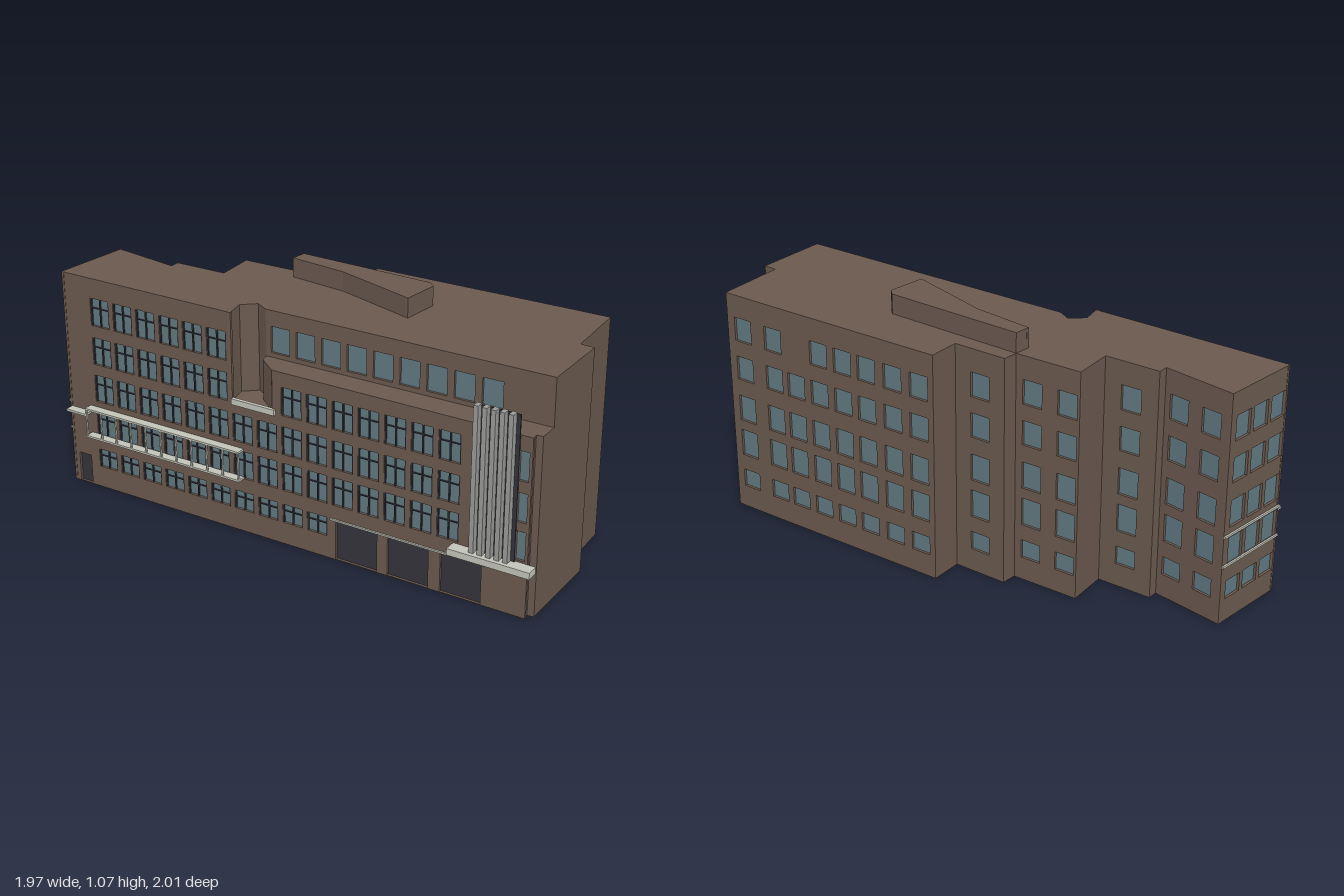
import * as THREE from 'three';
import { mergeGeometries } from 'three/addons/utils/BufferGeometryUtils.js';

const mat = (name, color) => {
  const m = new THREE.MeshStandardMaterial({ color, side: THREE.DoubleSide });
  m.name = name;
  return m;
};

export function createModel() {
  const brick = mat('brown wall', 0x6a594e);
  const glass = mat('blue grey glass', 0x607880);
  const dark = mat('dark frame', 0x33333b);
  const trim = mat('pale trim', 0xc2c3b8);
  const steel = mat('grey fin', 0x999b97);

  const model = new THREE.Group();
  model.name = 'officeBuilding';
  const TOP = 0.985, TERRACE = 0.78, LEDGE = 0.6, THICK = 0.012;

  const mesh = (parent, name, geometry, material) => {
    const m = new THREE.Mesh(geometry, material);
    m.name = name;
    parent.add(m);
    return m;
  };
  const boxGeo = (x0, x1, y0, y1, z0, z1) =>
    new THREE.BoxGeometry(x1 - x0, y1 - y0, z1 - z0)
      .translate((x0 + x1) / 2, (y0 + y1) / 2, (z0 + z1) / 2);
  const rect = (y0, y1, len) => [[0, y0], [len, y0], [len, y1], [0, y1]];
  const dist = (p, q) => Math.hypot(q[0] - p[0], q[1] - p[1]);

  // Wall from p to q (x, z); local x runs along it, local z points outward.
  // Openings are { s, w, y0, y1, door, bars }.
  function wall(name, p, q, outline, openings = []) {
    const g = new THREE.Group();
    g.name = name;
    g.position.set(p[0], 0, p[1]);
    g.rotation.y = -Math.atan2(q[1] - p[1], q[0] - p[0]);
    model.add(g);
    const shape = new THREE.Shape(outline.map(([x, y]) => new THREE.Vector2(x, y)));
    const panes = [], doors = [], bars = [];
    for (const o of openings) {
      const hole = rect(o.y0, o.y1, o.w).map(([x, y]) => new THREE.Vector2(x + o.s, y));
      shape.holes.push(new THREE.Path(hole));
      const pane = new THREE.PlaneGeometry(o.w, o.y1 - o.y0)
        .translate(o.s + o.w / 2, (o.y0 + o.y1) / 2, -THICK + 0.001);
      (o.door ? doors : panes).push(pane);
      if (o.bars) {
        const b = 0.003, ym = o.y0 + (o.y1 - o.y0) * 0.65;
        for (const t of [0.03, 0.5, 0.97]) {
          const x = o.s + o.w * t;
          bars.push(boxGeo(x - b, x + b, o.y0, o.y1, -0.009, -0.003));
        }
        bars.push(boxGeo(o.s, o.s + o.w, ym - 0.002, ym + 0.002, -0.009, -0.003));
      }
    }
    const body = new THREE.ExtrudeGeometry(shape, { depth: THICK, bevelEnabled: false });
    mesh(g, name + 'Masonry', body.translate(0, 0, -THICK), brick);
    if (panes.length) mesh(g, name + 'Glass', mergeGeometries(panes), glass);
    if (doors.length) mesh(g, name + 'Doors', mergeGeometries(doors), dark);
    if (bars.length) mesh(g, name + 'WindowBars', mergeGeometries(bars), dark);
    return g;
  }

  // Flat horizontal slab surface from an x, z outline
  function deck(name, points, y) {
    const s = new THREE.Shape(points.map(([x, z]) => new THREE.Vector2(x, -z)));
    mesh(model, name, new THREE.ShapeGeometry(s).rotateX(-Math.PI / 2).translate(0, y, 0), brick);
  }

  // ---- Main footprint corners ----
  const A = [-0.96, -0.82], B = [0.41, 0.94];
  const nicheL = [-0.425, -0.133], nicheR = [-0.305, 0.022];
  const setL = [-0.28, -0.12], setR = [0.52, 0.886], stepL = [-0.305, -0.09];
  const endFace = [[0.43, 0.92], [0.45, 0.94]];
  const back = [[0.78, 0.685], [0.745, 0.635], [0.98, 0.435], [0.86, 0.285], [0.31, -0.39],
    [0.2, -0.305], [0.055, -0.49], [0, -0.455], [-0.185, -0.68], [-0.32, -0.565],
    [-0.47, -0.75], [-0.505, -0.725], [-0.66, -1]];
  const L = dist(A, B);
  const along = (x) => (x - A[0]) / (B[0] - A[0]) * L;

  // ---- Front facade ----
  const rows = [[0.1, 0.185], [0.25, 0.375], [0.415, 0.54], [0.59, 0.715], [0.77, 0.895]];
  const open = [];
  rows.forEach(([y0, y1], r) => {
    const count = [10, 15, 15, 15, 6][r];
    for (let i = 0; i < count; i++) {
      if (r === 3 && (i === 6 || i === 7)) continue;
      open.push({ s: along(-0.87 + i * 0.074), w: 0.098, y0, y1, bars: true });
    }
    if (r > 0 && r < 4) open.push({ s: along(0.377), w: 0.042, y0, y1 });
  });
  for (const [a, b, h] of [[-0.12, 0, 0.18], [0.03, 0.145, 0.18], [0.178, 0.29, 0.18], [-0.94, -0.9, 0.14]]) {
    open.push({ s: along(a), w: along(b) - along(a), y0: 0.003, y1: h, door: true });
  }
  const nl = along(nicheL[0]), nr = along(nicheR[0]);
  const front = wall('frontFacade', A, B, [[0, 0], [L, 0], [L, TERRACE], [nr, TERRACE], [nr, LEDGE],
    [nl, LEDGE], [nl, TOP], [0, TOP]], open);

  // ---- Recessed top floor above the terrace ----
  const setLen = dist(setL, setR), setScale = setLen / (setR[0] - setL[0]);
  const topWindows = [];
  for (let i = 0; i < 9; i++) {
    topWindows.push({ s: (0.015 + i * 0.0745) * setScale, w: 0.055 * setScale, y0: 0.8, y1: 0.915 });
  }
  wall('topFloorWall', setL, setR, rect(TERRACE, TOP, setLen), topWindows);

  // ---- Niche walls ----
  const niche = [nicheL, [-0.365, -0.2], [-0.29, -0.185], setL, stepL, nicheR];
  for (let i = 0; i < 5; i++) {
    const [p, q] = [niche[i], niche[i + 1]];
    wall('nicheWall' + i, p, q, rect(LEDGE, i < 3 ? TOP : TERRACE, dist(p, q)));
  }

  // ---- Low front corner, then end and stepped back walls ----
  const low = [B, ...endFace, setR];
  for (let i = 0; i < 3; i++) {
    wall('cornerWall' + i, low[i], low[i + 1], rect(0, TERRACE, dist(low[i], low[i + 1])));
  }
  const backRows = [[0.1, 0.18], [0.25, 0.37], [0.415, 0.53], [0.605, 0.71], [0.78, 0.885]];
  // Window centres as fractions of each wall's length
  const centres = { 3: [0.43], 4: [0.06, 0.195, 0.338, 0.48, 0.62, 0.77, 0.918], 6: [0.5],
    8: [0.26, 0.81], 10: [0.5], 12: [0.22, 0.71], 13: [0.22, 0.53, 0.84] };
  const loop = [setR, ...back, A];
  for (let i = 0; i < loop.length - 1; i++) {
    const p = loop[i], q = loop[i + 1], len = dist(p, q), w = 0.088;
    const holes = [];
    (centres[i] || []).forEach((t, k) => backRows.forEach(([y0, y1], r) => {
      if (i === 4 && k === 1 && r === 4) return;
      holes.push({ s: t * len - w / 2, w, y0, y1 });
    }));
    const g = wall('outerWall' + i, p, q, rect(0, TOP, len), holes);
    // Trim bands wrap onto the narrow end
    if (i === 13) for (const y of [0.25, 0.38]) mesh(g, 'endBand', boxGeo(0, len, y, y + 0.009, 0, 0.008), trim);
  }

  // ---- Roof, terrace and niche floor ----
  deck('mainRoof', [A, ...niche.slice(0, 4), setR, ...back], TOP);
  deck('terrace', [nicheR, B, ...endFace, setR, setL, stepL], TERRACE);
  deck('nicheFloor', niche, LEDGE);

  // ---- Roof penthouse ----
  const pent = [[-0.06, -0.42], [0.08, -0.195], [0.22, 0.165], [0.365, 0.08], [0.37, 0.04], [0, -0.455]];
  pent.forEach((p, i) => {
    const q = pent[(i + 1) % pent.length];
    wall('penthouseWall' + i, p, q, rect(TOP, 1.07, dist(p, q)));
  });
  deck('penthouseRoof', pent, 1.07);

  // ---- Balcony screen, ledges and canopy on the front ----
  const b0 = along(-0.89), b1 = along(-0.395);
  for (const y of [0.25, 0.38]) mesh(front, 'balconyRail', boxGeo(b0, b1, y, y + 0.009, 0, 0.04), trim);
  for (let i = 0; i <= 10; i++) {
    const x = b0 + (b1 - b0 - 0.006) * i / 10;
    mesh(front, 'balconyPost', boxGeo(x, x + 0.006, 0.259, 0.38, 0.032, 0.04), trim);
  }
  mesh(front, 'sideLedge', boxGeo(along(-0.955), b0, 0.35, 0.36, 0, 0.04), trim);
  mesh(front, 'nicheLedge', boxGeo(nl, nr + 0.015, 0.584, 0.61, -0.005, 0.012), trim);
  mesh(front, 'entranceCanopy', boxGeo(along(0.212), along(0.432), 0.213, 0.242, 0, 0.054), trim);
  mesh(front, 'garageLintel', boxGeo(along(-0.135), along(0.3), 0.181, 0.188, 0, 0.008), trim);

  // ---- Vertical fins over the entrance ----
  const f0 = along(0.265), f1 = along(0.378), step = (f1 - f0) / 5;
  mesh(front, 'finBacking', boxGeo(f0, f1, 0.242, 0.865, 0.002, 0.008), dark);
  for (let i = 0; i < 5; i++) {
    const x = f0 + i * step;
    mesh(front, 'verticalFin', boxGeo(x, x + step * 0.55, 0.242, 0.87, 0.004, 0.036), steel);
  }
  return model;
}
